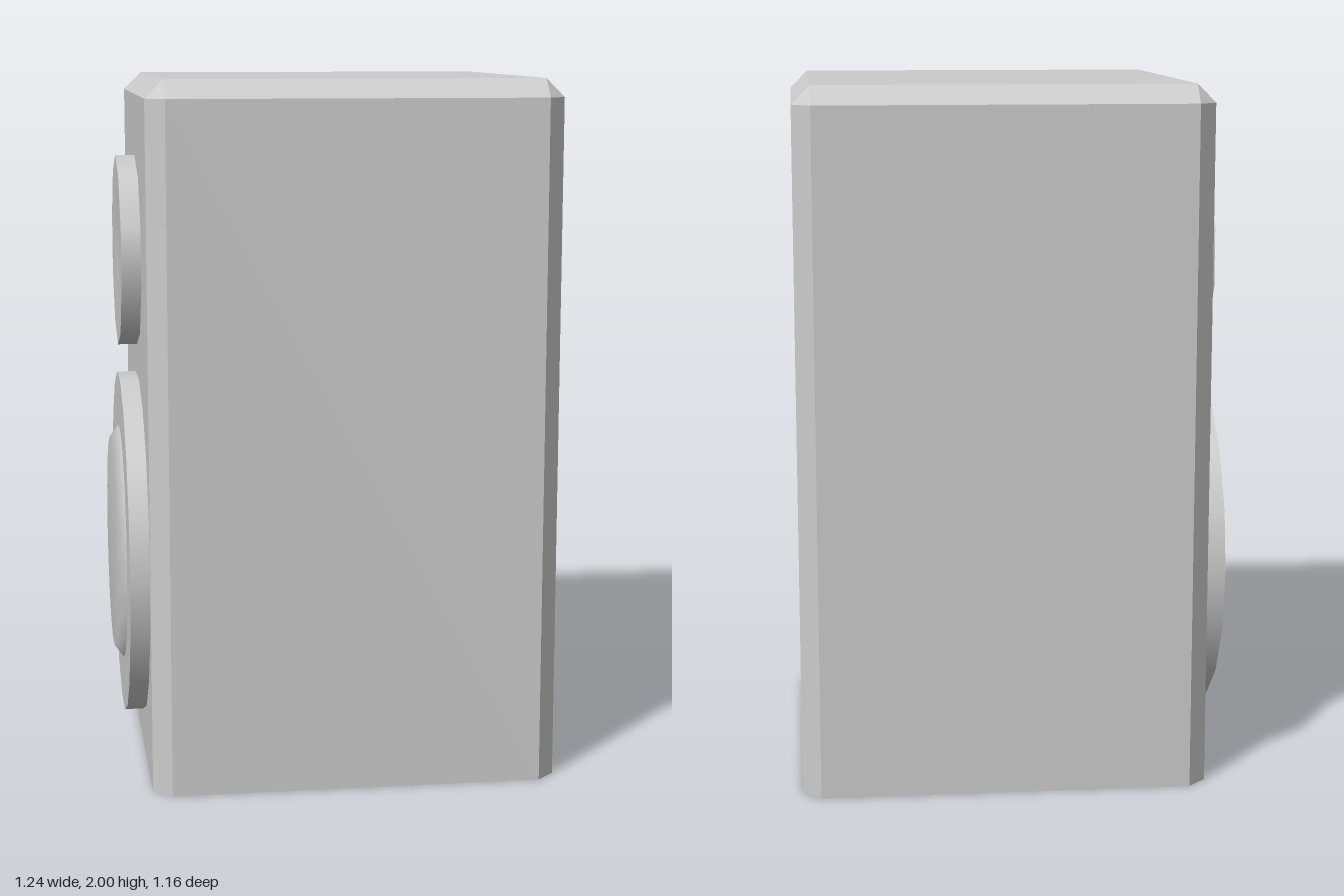
import * as THREE from 'three';
import { ConvexGeometry } from 'three/addons/geometries/ConvexGeometry.js';
import { mergeGeometries } from 'three/addons/utils/BufferGeometryUtils.js';

const grey = new THREE.MeshStandardMaterial({ color: 0xcccccc });

// Box with bevelled upright corners and top edge, and a square-cut base
function bevelledCabinet(x0, x1, halfZ, height, bevel) {
  const cx = (x0 + x1) / 2, halfX = (x1 - x0) / 2;
  const points = [];
  for (const sx of [-1, 1]) {
    for (const sz of [-1, 1]) {
      const inX = cx + sx * (halfX - bevel), inZ = sz * (halfZ - bevel);
      for (const y of [0, height - bevel]) {
        points.push(new THREE.Vector3(cx + sx * halfX, y, inZ));
        points.push(new THREE.Vector3(inX, y, sz * halfZ));
      }
      points.push(new THREE.Vector3(inX, height, inZ));
    }
  }
  return new ConvexGeometry(points);
}

// Round part turned about -x; each profile is smooth, with hard edges between profiles
function turned(name, profiles, sides, start, y, z) {
  const lathes = profiles.map(profile => new THREE.LatheGeometry(
    profile.map(([r, h]) => new THREE.Vector2(r, h)), sides, start));
  const geometry = mergeGeometries(lathes);
  geometry.rotateZ(Math.PI / 2);
  const mesh = new THREE.Mesh(geometry, grey);
  mesh.name = name;
  mesh.position.set(-0.54, y, z);
  return mesh;
}

export function createModel() {
  const model = new THREE.Group();
  model.name = 'loudspeaker';

  const cabinet = new THREE.Mesh(bevelledCabinet(-0.54, 0.62, 0.578, 2, 0.052), grey);
  cabinet.name = 'cabinet';
  model.add(cabinet);

  // Small upper driver with a shallow dish in the middle
  model.add(turned('tweeter', [
    [[0.28, -0.01], [0.28, 0.056]],
    [[0.28, 0.056], [0.1, 0.054], [0, 0.04]],
  ], 10, Math.PI / 2, 1.49, 0.01));

  // Large lower driver: flat ring and raised cone
  model.add(turned('wooferRing', [
    [[0.51, -0.01], [0.51, 0.056]],
    [[0.51, 0.056], [0.35, 0.056]],
  ], 18, 0, 0.612, 0.006));
  model.add(turned('wooferCone', [
    [[0.35, 0.056], [0.315, 0.083], [0, 0.083]],
  ], 18, 0, 0.612, 0.006));

  return model;
}
